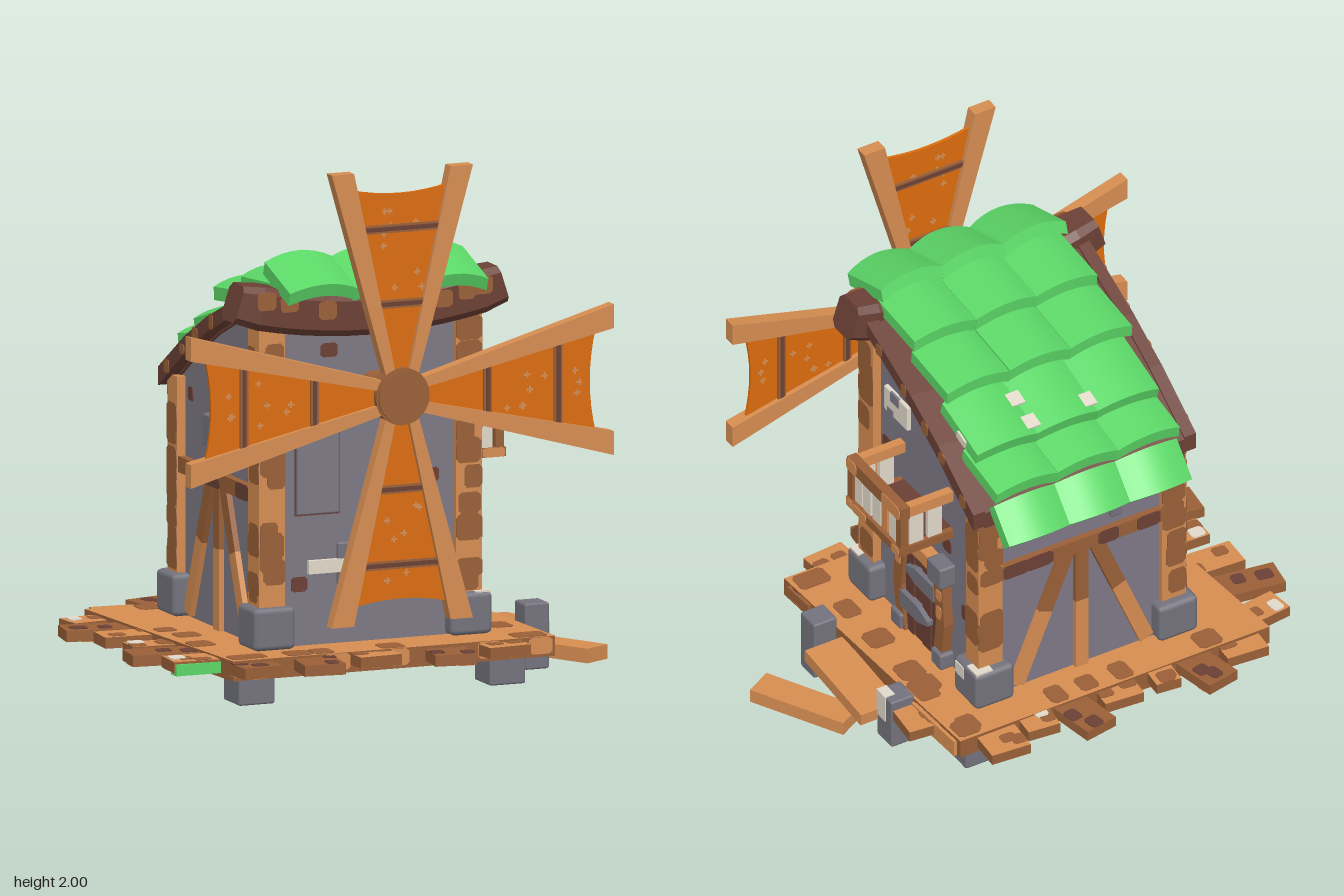
import * as THREE from 'three';
import { RoundedBoxGeometry } from 'three/addons/geometries/RoundedBoxGeometry.js';

const colours = {
  wall: 0x7e7985, block: 0x74737d, woodLight: 0xd68d51, woodMid: 0x9a6038, woodDark: 0x6b4035,
  tileGreen: 0x5cd867, cream: 0xe2d9ca, sailOrange: 0xdc6d0d,
};
const M = {};
for (const [name, color] of Object.entries(colours)) {
  M[name] = new THREE.MeshStandardMaterial({ color });
  M[name].name = name;
}

let seed = 7;
const rnd = () => (seed = (seed * 16807) % 2147483647) / 2147483647;
const between = (a, b) => a + (b - a) * rnd();

function add(parent, name, geometry, mat) {
  const mesh = new THREE.Mesh(geometry, mat);
  mesh.name = name;
  parent.add(mesh);
  return mesh;
}
// Box given by its limits; soft > 0 gives chamfered edges
function box(parent, name, mat, x0, x1, y0, y1, z0, z1, soft = 0) {
  const s = [x1 - x0, y1 - y0, z1 - z0];
  const g = soft ? new RoundedBoxGeometry(...s, 1, soft) : new THREE.BoxGeometry(...s);
  const m = add(parent, name, g, mat);
  m.position.set((x0 + x1) / 2, (y0 + y1) / 2, (z0 + z1) / 2);
  return m;
}
// Upright prism of half-width r: a square with cut corners
function cutSquare(r, height, rings) {
  const g = new THREE.CylinderGeometry(r * 1.082, r * 1.082, height, 8, rings).rotateY(Math.PI / 8);
  const p = g.attributes.position, push = (v) => (Math.abs(v) < r * 0.6 ? v * 1.65 : v);
  for (let i = 0; i < p.count; i++) p.setXYZ(i, push(p.getX(i)), p.getY(i), push(p.getZ(i)));
  return g;
}
const shapeOf = (pts) => new THREE.Shape(pts.map((p) => new THREE.Vector2(...p)));
const extrude = (shape, depth) => new THREE.ExtrudeGeometry(shape, { depth, bevelEnabled: false, curveSegments: 8 });
// Outline in (z, y), extruded from x0 to x1
function sideSlab(parent, name, mat, pts, x0, x1) {
  return add(parent, name, extrude(shapeOf(pts), x1 - x0).rotateY(-Math.PI / 2).translate(x1, 0, 0), mat);
}
// Painted patches on a plane: axis x uses (z, y), y uses (x, z), z uses (x, y)
function spots(parent, mat, axis, at, u0, u1, v0, v1, n, r) {
  for (let i = 0; i < n; i++) {
    const a = Math.min(r * between(0.65, 1), (u1 - u0) / 2), b = Math.min(r * between(0.65, 1), (v1 - v0) / 2);
    const side = rnd() < 0.5 ? u0 + a : u1 - a;
    const u = n > 1 && rnd() < 0.5 ? side : between(u0 + a, u1 - a), v = between(v0 + b, v1 - b);
    const g = cutSquare(1, 0.006, 1).scale(a, 1, b);
    if (axis === 'x') g.rotateX(Math.PI / 2).rotateY(Math.PI / 2);
    if (axis === 'z') g.rotateX(Math.PI / 2);
    const p = { x: [at, v, u], y: [u, at, v], z: [u, v, at] }[axis];
    add(parent, 'paintPatch', g, mat).position.set(...p);
  }
}
// Straight bar between two points, light below and dark above
function bar(parent, name, a, b, width, depth, faceX) {
  const A = new THREE.Vector3(...a), B = new THREE.Vector3(...b), d = B.clone().sub(A);
  for (const [from, to, mat] of [[0, 0.55, M.woodLight], [0.55, 1, M.woodMid]]) {
    const h = d.length() * (to - from);
    const m = add(parent, name, new THREE.BoxGeometry(faceX ? depth : width, h, faceX ? width : depth), mat);
    m.position.copy(A).addScaledVector(d, (from + to) / 2);
    m.quaternion.setFromUnitVectors(new THREE.Vector3(0, 1, 0), d.clone().normalize());
  }
}

function buildPlatform(g) {
  const deck = [[-0.77, -0.58], [0.57, -0.58], [0.62, 0.6], [-0.68, 0.6]];
  const flat = (y, h) => extrude(shapeOf(deck), h).rotateX(Math.PI / 2).translate(0, y, 0);
  add(g, 'deck', flat(0.18, 0.07), [M.woodLight, M.woodMid]);
  add(g, 'deckUnderside', flat(0.112, 0.008), M.woodMid);
  spots(g, M.woodLight, 'y', 0.103, -0.66, 0.55, -0.55, 0.57, 60, 0.055);
  for (const [x0, x1, z0, z1, n] of [[-0.7, 0.56, -0.57, -0.47, 6], [-0.67, 0.6, 0.5, 0.59, 7], [-0.7, -0.58, -0.4, 0.5, 3], [0.45, 0.58, -0.55, 0.5, 7]])
    spots(g, M.woodMid, 'y', 0.18, x0, x1, z0, z1, n, 0.055);
  spots(g, M.woodLight, 'z', 0.6, -0.67, 0.61, 0.115, 0.178, 7, 0.05);
  box(g, 'deckEdgeLight', M.woodLight, 0.585, 0.598, 0.112, 0.179, -0.57, -0.28).rotation.y = 0.042;
  // Loose plank ends: x, z, width, depth, turn, dark
  const planks = [
    [-0.8, -0.455, 0.2, 0.12, 0.12, 0], [-0.84, -0.285, 0.28, 0.13, -0.16, 1], [-0.8, -0.11, 0.22, 0.13, -0.06, 0],
    [-0.79, 0.085, 0.18, 0.11, -0.05, 0], [-0.82, 0.255, 0.26, 0.14, -0.12, 1], [-0.78, 0.435, 0.18, 0.14, -0.06, 0],
    [-0.635, -0.6, 0.17, 0.12, -0.08, 0], [-0.45, -0.65, 0.14, 0.2, 0.2, 1], [-0.29, -0.6, 0.1, 0.13, -0.1, 0],
    [-0.1, -0.6, 0.16, 0.12, -0.08, 0], [0.08, -0.65, 0.14, 0.21, 0.17, 1], [0.25, -0.6, 0.13, 0.13, -0.1, 0],
    [0.42, -0.63, 0.16, 0.16, -0.08, 0], [0.62, -0.36, 0.14, 0.15, -0.1, 0], [0.59, 0.49, 0.08, 0.14, 0.05, 1],
    [-0.6, 0.62, 0.16, 0.14, 0.1, 1], [-0.36, 0.66, 0.16, 0.18, -0.12, 1], [-0.12, 0.62, 0.17, 0.13, 0.06, 0],
    [0.17, 0.66, 0.16, 0.17, -0.12, 1], [0.4, 0.62, 0.17, 0.13, 0.08, 0],
  ];
  planks.forEach(([x, z, w, d, turn, dark], i) => {
    const p = new THREE.Group();
    p.name = 'loosePlank';
    p.position.set(x, 0.148 + (i % 3) * 0.003, z);
    p.rotation.y = turn;
    const side = M.woodMid, face = dark ? M.woodMid : M.woodLight;
    box(p, 'plank', [side, side, face, M.woodMid, side, side], -w / 2, w / 2, -0.022, 0.02, -d / 2, d / 2);
    spots(p, dark ? M.woodDark : M.woodMid, 'y', 0.02, -w / 2, w / 2, -d / 2, d / 2, 2, 0.035);
    spots(p, M.woodLight, 'y', -0.022, -w / 2, w / 2, -d / 2, d / 2, 2, 0.04);
    if (i === 0 || i === 3 || i === 5 || i === 11) spots(p, M.cream, 'y', 0.022, -w / 2, 0, -d / 2, d / 2, 1, 0.034);
    g.add(p);
  });
  box(g, 'greenPlankEdge', M.tileGreen, -0.87, -0.69, 0.122, 0.165, 0.46, 0.512);
  // Feet
  for (const x of [-0.565, 0.448]) for (const z of [0.485, -0.465])
    box(g, 'foot', M.block, x - 0.073, x + 0.073, 0, 0.11, z - 0.074, z + 0.074, 0.008);
  // Entry steps with stone posts
  box(g, 'stepPost', M.block, 0.62, 0.72, 0, 0.25, 0.22, 0.32, 0.008);
  box(g, 'stepPost', M.block, 0.59, 0.69, 0, 0.21, -0.285, -0.18, 0.008);
  box(g, 'stepPostPatch', M.cream, 0.65, 0.694, 0.1, 0.213, -0.245, -0.183);
  box(g, 'upperStep', M.woodLight, 0.6, 0.765, 0.09, 0.14, -0.19, 0.215).rotation.x = -0.09;
  box(g, 'lowerStep', M.woodLight, 0.785, 0.905, 0, 0.055, -0.12, 0.28).rotation.y = 0.5;
}

function buildBody(g) {
  sideSlab(g, 'walls', M.wall, [[0.41, 0.18], [0.41, 1.46], [0.3, 1.45], [0, 1.32], [-0.2, 1.21], [-0.4, 1.07], [-0.4, 0.18]], -0.47, 0.36);
  for (const [x0, x1, out] of [[-0.505, -0.4, -0.505], [0.29, 0.395, 0.395]])
    for (const [z0, z1, top, face] of [[0.335, 0.44, 1.42, 0.44], [-0.42, -0.33, 1.08, -0.42]]) {
      box(g, 'cornerPost', M.woodLight, x0, x1, 0.18, top, z0, z1);
      spots(g, M.woodMid, 'z', face, x0, x1, 0.34, top, 12, 0.054);
      spots(g, M.woodMid, 'x', out, z0, z1, 0.34, top, 13, 0.054);
      const x = (x0 + x1) / 2, z = (z0 + z1) / 2;
      box(g, 'cornerStone', M.block, x - 0.085, x + 0.085, 0.18, 0.34, z - 0.085, z + 0.085, 0.02);
    }
  box(g, 'stonePatch', M.cream, 0.4, 0.43, 0.275, 0.325, -0.37, -0.31);
  box(g, 'stonePatch', M.cream, 0.36, 0.42, 0.31, 0.343, 0.4, 0.46);
  box(g, 'stonePatch', M.cream, 0.35, 0.42, 0.3, 0.343, -0.45, -0.38);
  // Timber frame on the left side and the back
  box(g, 'sideRail', M.woodMid, -0.5, -0.46, 0.72, 0.78, -0.34, 0.34);
  spots(g, M.woodDark, 'x', -0.5, -0.33, 0.33, 0.72, 0.78, 5, 0.06);
  box(g, 'backRail', M.woodMid, -0.42, 0.31, 0.72, 0.78, -0.425, -0.39);
  spots(g, M.woodDark, 'z', -0.425, -0.39, 0.29, 0.72, 0.78, 6, 0.06);
  bar(g, 'sideStud', [-0.475, 0.18, 0], [-0.475, 0.74, 0], 0.055, 0.03, true);
  bar(g, 'backStud', [-0.055, 0.18, -0.405], [-0.055, 0.74, -0.405], 0.055, 0.03);
  for (const s of [-1, 1]) {
    bar(g, 'sideBrace', [-0.477, 0.2, s * 0.27], [-0.477, 0.74, s * 0.06], 0.06, 0.03, true);
    bar(g, 'backBrace', [-0.055 + s * 0.28, 0.2, -0.407], [-0.055 + s * 0.06, 0.74, -0.407], 0.06, 0.03);
  }
  // Wall plates and stones
  box(g, 'frontShutterFrame', M.woodDark, -0.35, -0.172, 0.67, 1.154, 0.405, 0.418);
  box(g, 'frontShutter', M.wall, -0.346, -0.176, 0.675, 1.15, 0.41, 0.43, 0.006);
  box(g, 'frontPatch', M.block, -0.18, 0.02, 0.4, 0.56, 0.4, 0.425, 0.008);
  box(g, 'frontPatchPale', M.cream, -0.3, -0.06, 0.45, 0.5, 0.4, 0.43);
  box(g, 'frontStone', M.block, 0.19, 0.235, 0.6, 0.645, 0.4, 0.43, 0.008);
  box(g, 'sidePatch', M.cream, 0.35, 0.377, 1.09, 1.2, 0.12, 0.29, 0.006);
  box(g, 'sidePatchSpot', M.wall, 0.37, 0.38, 1.16, 1.201, 0.18, 0.24);
  box(g, 'sidePatchSpot', M.wall, 0.37, 0.38, 1.089, 1.12, 0.22, 0.26);
  box(g, 'sideStone', M.block, 0.35, 0.38, 1.22, 1.31, 0.085, 0.18, 0.008);
  box(g, 'leftPatch', M.block, -0.495, -0.46, 0.86, 0.98, -0.12, 0.05, 0.008);
  box(g, 'leftPatchPale', M.cream, -0.5, -0.46, 0.95, 1.0, -0.02, 0.06, 0.006);
  box(g, 'leftStone', M.block, -0.49, -0.46, 0.98, 1.05, 0.16, 0.24, 0.008);
  box(g, 'backPatch', M.block, -0.05, 0.14, 0.86, 0.98, -0.425, -0.39, 0.008);
  box(g, 'backStone', M.block, -0.23, -0.18, 0.82, 0.87, -0.42, -0.39, 0.008);
  for (const [z, y] of [[0.29, 0.92], [-0.14, 0.73], [-0.27, 0.49]]) spots(g, M.woodDark, 'x', 0.36, z - 0.035, z + 0.035, y - 0.035, y + 0.035, 1, 0.034);
  for (const [x, y] of [[-0.21, 1.28], [-0.33, 0.41], [0.2, 0.78]]) spots(g, M.woodDark, 'z', 0.41, x - 0.035, x + 0.035, y - 0.035, y + 0.035, 1, 0.034);
  spots(g, M.woodDark, 'z', -0.4, -0.36, 0.25, 0.82, 1.03, 3, 0.03);
  spots(g, M.woodDark, 'x', -0.47, -0.3, 0.3, 0.82, 1.08, 4, 0.03);
}

function buildDoor(g) {
  for (let i = 0; i < 4; i++) box(g, 'doorPlank', M.woodDark, 0.35, 0.38 + (i % 2) * 0.005, 0.18, 0.6, -0.12 + i * 0.06, -0.063 + i * 0.06);
  for (const s of [-1, 1]) {
    const jamb = [[0.13, 0.18], [0.165, 0.25], [0.182, 0.38], [0.165, 0.58], [0.1, 0.58], [0.125, 0.38], [0.1, 0.18]];
    sideSlab(g, 'doorJamb', M.woodMid, jamb.map(([z, y]) => [s * z, y]), 0.35, 0.4);
    spots(g, M.woodLight, 'x', 0.4, s > 0 ? 0.125 : -0.165, s > 0 ? 0.165 : -0.125, 0.28, 0.55, 3, 0.025);
    box(g, 'lintelStone', M.block, 0.35, 0.425, 0.57, 0.665, s * 0.145 - 0.05, s * 0.145 + 0.05, 0.01);
    box(g, 'jambStone', M.block, 0.35, 0.415, 0.18, 0.25, s * 0.145 - 0.037, s * 0.145 + 0.037, 0.01);
    const hinge = [[0.11, -0.035], [0.11, 0.035], [-0.02, 0.035], [-0.09, 0.01], [-0.09, -0.01], [-0.02, -0.035]];
    const y = s > 0 ? 0.322 : 0.488;
    sideSlab(g, 'hinge', M.block, hinge.map(([z, dy]) => [s * z + (s > 0 ? 0.02 : 0), y + dy]), 0.38, 0.405);
  }
  box(g, 'lintel', M.woodLight, 0.35, 0.41, 0.59, 0.645, -0.1, 0.1);
}

function buildBalcony(g) {
  box(g, 'balconyFloor', M.woodMid, 0.36, 0.595, 0.79, 0.825, -0.185, 0.2);
  box(g, 'balconyFloorBoards', M.woodDark, 0.36, 0.57, 0.822, 0.83, -0.16, 0.17);
  box(g, 'frontRail', M.woodMid, 0.55, 0.59, 0.955, 1.01, -0.185, 0.2);
  spots(g, M.woodLight, 'x', 0.59, -0.18, 0.2, 0.955, 1.01, 5, 0.04);
  spots(g, M.woodLight, 'x', 0.595, -0.18, 0.2, 0.79, 0.825, 4, 0.03);
  spots(g, M.woodLight, 'y', 0.79, 0.4, 0.59, -0.18, 0.2, 5, 0.045);
  spots(g, M.woodLight, 'z', 0.2, 0.4, 0.59, 0.79, 0.825, 3, 0.04);
  for (const z of [0.18, -0.165]) {
    box(g, 'sideRail', M.woodLight, 0.36, 0.56, 0.96, 1.005, z - 0.018, z + 0.018);
    box(g, 'cornerBaluster', M.woodMid, 0.555, 0.588, 0.82, 0.96, z - 0.018, z + 0.018);
    for (const x of [0.405, 0.485]) box(g, 'sideSlat', M.cream, x, x + 0.06, 0.82, 0.97, z - 0.01, z + 0.01);
  }
  for (const [z, w, mat] of [[-0.115, 0.06, M.cream], [-0.05, 0.04, M.woodLight], [0.005, 0.055, M.cream], [0.075, 0.055, M.cream], [0.135, 0.05, M.cream]]) {
    box(g, 'frontSlat', mat, 0.56, 0.58, 0.82, 0.96, z - w / 2, z + w / 2);
  }
}

function buildRoof(g) {
  const top = [[0.4, 1.53], [0.3, 1.49], [0, 1.365], [-0.2, 1.26], [-0.45, 1.1]];
  const low = [[-0.45, 1.03], [-0.2, 1.195], [0, 1.305], [0.3, 1.435], [0.4, 1.46]];
  for (const x of [-0.53, 0.385]) sideSlab(g, 'bargeBoard', M.woodDark, [...top, ...low], x, x + 0.05);
  for (const x of [-0.53, 0.435]) for (const [z, y] of [[0.22, 1.427], [0.05, 1.355], [-0.1, 1.28], [-0.22, 1.215], [-0.37, 1.115]])
    spots(g, M.woodMid, 'x', x, z - 0.028, z + 0.028, y - 0.028, y + 0.028, 1, 0.028);
  sideSlab(g, 'roofDeck', M.woodDark, [...top, ...low].map(([z, y]) => [z, y - 0.01]), -0.48, 0.385);

  // Sagging front beam
  const beam = cutSquare(0.08, 1.07, 12).rotateZ(Math.PI / 2).toNonIndexed();
  const p = beam.attributes.position;
  for (let i = 0; i < p.count; i++) {
    const x = p.getX(i), y = p.getY(i), k = Math.abs(x) > 0.5 ? 0.85 : 1;
    p.setXYZ(i, x - y * 0.5 * x, y * k + 0.07 * (x / 0.53) ** 2, p.getZ(i) * k);
  }
  beam.computeVertexNormals();
  add(g, 'frontBeam', beam, M.woodDark).position.set(-0.055, 1.42, 0.39);
  for (const [x, y] of [[-0.49, 1.5], [-0.4, 1.485], [-0.25, 1.45], [0.22, 1.46], [0.31, 1.485], [0.38, 1.5]])
    spots(g, M.woodMid, 'z', 0.471, x - 0.045, x + 0.045, y - 0.035, y + 0.035, 1, 0.045);

  // Arched tiles, each row from front (z, y) to back (z, y)
  const rows = [[0.56, 1.515, 0.305, 1.6], [0.42, 1.528, 0.08, 1.502], [0.115, 1.45, -0.16, 1.42],
    [-0.09, 1.345, -0.36, 1.265], [-0.25, 1.23, -0.51, 1.18], [-0.45, 1.115, -0.568, 0.99]];
  rows.forEach(([z0, y0, z1, y1], r) => {
    const len = Math.hypot(z1 - z0, y1 - y0), tilt = Math.atan2(y1 - y0, z0 - z1);
    for (let c = -1; c <= 1; c++) {
      const w = r === 0 ? 0.275 : 0.267;
      const tile = new THREE.BoxGeometry(w, 0.05, len, 8, 1, 1), q = tile.attributes.position;
      for (let i = 0; i < q.count; i++) {
        const bow = 1 - (2 * q.getX(i) / w) ** 2;
        q.setY(i, q.getY(i) + 0.034 * bow);
        q.setZ(i, q.getZ(i) * (0.94 + 0.06 * bow));
      }
      tile.computeVertexNormals();
      const m = add(g, 'roofTile', tile, M.tileGreen);
      m.position.set(-0.033 + c * 0.262 + between(-0.005, 0.005), (y0 + y1) / 2, (z0 + z1) / 2);
      m.rotation.set(tilt, 0, between(-0.03, 0.03));
    }
  });
  for (const [x, z, y] of [[0.105, -0.31, 1.316], [0.105, -0.2, 1.349], [-0.14, -0.31, 1.32]])
    box(g, 'palePatch', M.cream, x - 0.03, x + 0.03, y - 0.004, y + 0.005, z - 0.03, z + 0.03).rotation.x = -0.288;
  box(g, 'palePatch', M.cream, 0.362, 0.37, 1.283, 1.315, -0.28, -0.22).rotation.x = -0.288;
}

function buildWindmill(g) {
  const mill = new THREE.Group();
  mill.name = 'windmill';
  mill.position.set(-0.03, 1.145, 0.655);
  g.add(mill);
  const round = (name, r, z0, z1, mat, sides) =>
    add(mill, name, new THREE.CylinderGeometry(r, r, z1 - z0, sides).rotateX(Math.PI / 2), mat).position.z = (z0 + z1) / 2;
  round('axle', 0.055, -0.25, 0, M.woodMid, 12);
  round('axleCollar', 0.075, -0.07, -0.03, M.woodMid, 16);
  round('hubRim', 0.108, -0.035, 0.03, M.woodMid, 24);
  round('hub', 0.1, -0.038, 0.04, M.woodMid, 24);
  for (let k = 0; k < 4; k++) {
    const sail = new THREE.Group();
    sail.name = 'sail';
    sail.rotation.z = k * Math.PI / 2;
    mill.add(sail);
    for (const s of [-1, 1]) {
      const spar = [[0.02, 0.06], [0.06, 0.06], [0.285, 0.855], [0.195, 0.855]].map(([x, y]) => [s * x, y]);
      add(sail, 'spar', extrude(shapeOf(spar), 0.05).translate(0, 0, -0.025), M.woodLight);
    }
    const cloth = new THREE.Shape();
    cloth.moveTo(-0.04, 0.08);
    cloth.lineTo(0.04, 0.08);
    cloth.lineTo(0.2, 0.79);
    cloth.quadraticCurveTo(0, 0.74, -0.2, 0.79);
    add(sail, 'cloth', extrude(cloth, 0.012).translate(0, 0, -0.006), M.sailOrange);
    for (const [y, w] of [[0.35, 0.1], [0.635, 0.165]]) {
      box(sail, 'crossBar', M.woodMid, -w, w, y - 0.016, y + 0.016, -0.016, 0.016);
      box(sail, 'crossBarLine', M.woodDark, -w, w, y - 0.008, y + 0.008, -0.018, 0.018);
    }
    // Small stitched crosses
    for (let i = 0; i < 9; i++) {
      const y = between(0.4, 0.73), x = between(-0.1, 0.1);
      box(sail, 'stitch', M.woodLight, x - 0.013, x + 0.013, y - 0.004, y + 0.004, -0.008, 0.008);
      box(sail, 'stitch', M.woodLight, x - 0.004, x + 0.004, y - 0.013, y + 0.013, -0.008, 0.008);
    }
  }
}

export function createModel() {
  const model = new THREE.Group();
  model.name = 'windmillHouse';
  seed = 7;
  const parts = { platform: buildPlatform, body: buildBody, door: buildDoor, balcony: buildBalcony, roof: buildRoof, rotor: buildWindmill };
  for (const [name, build] of Object.entries(parts)) {
    const part = new THREE.Group();
    part.name = name;
    build(part);
    model.add(part);
  }
  return model;
}
